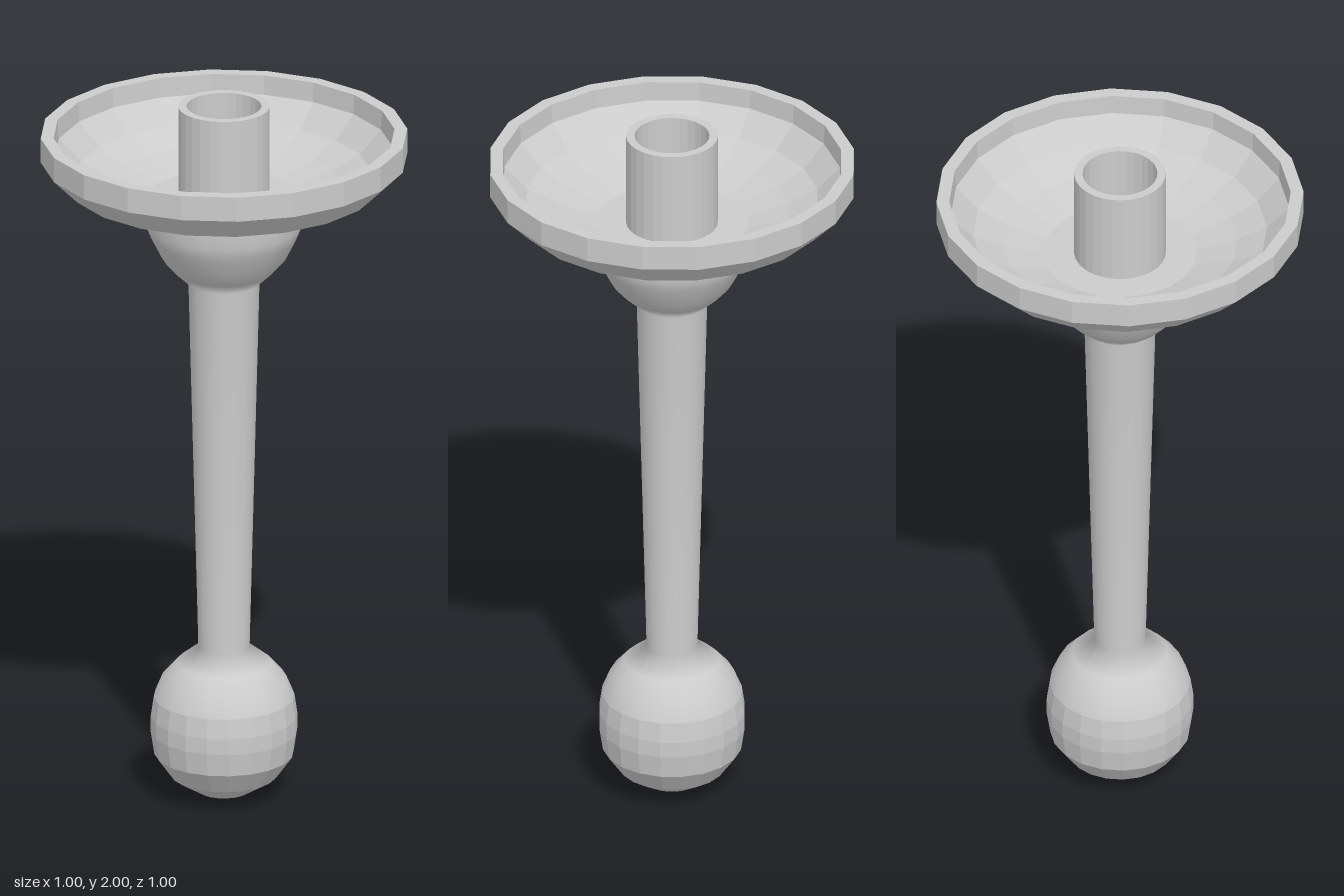
import * as THREE from 'three';

// Revolves [radius, y] points, listed so that the outside is walked upwards
function turned(name, points, sides, flat) {
  const profile = points.map(([r, y]) => new THREE.Vector2(r, y));
  const material = new THREE.MeshStandardMaterial({ color: 0xcccccc, flatShading: flat });
  const mesh = new THREE.Mesh(new THREE.LatheGeometry(profile, sides), material);
  mesh.name = name;
  return mesh;
}

export function createModel() {
  const model = new THREE.Group();
  model.name = 'candleHolder';

  // Faceted lower part of the ball foot
  model.add(turned('ballFoot', [
    [0, 0], [0.07, 0.016], [0.145, 0.062], [0.19, 0.125], [0.2, 0.19],
    [0.2, 0.235], [0.192, 0.29],
  ], 20, true));

  // Smooth upper ball, tapering stem and bell under the dish
  model.add(turned('stem', [
    [0.192, 0.29], [0.17, 0.343], [0.13, 0.388], [0.07, 0.435],
    [0.097, 1.49], [0.135, 1.525], [0.17, 1.565], [0.2, 1.625], [0.214, 1.66], [0.214, 1.715],
  ], 20, false));

  // Drip dish: underside, rim and hollow inside
  model.add(turned('dripDish', [
    [0, 1.715], [0.21, 1.715], [0.43, 1.78], [0.5, 1.85], [0.5, 1.92],
    [0.465, 1.92], [0.462, 1.865], [0.4, 1.803], [0.32, 1.767], [0.21, 1.735], [0, 1.735],
  ], 20, true));

  // Open candle socket
  model.add(turned('candleSocket', [
    [0.125, 1.73], [0.125, 2], [0.102, 2], [0.102, 1.745], [0, 1.745],
  ], 28, true));

  return model;
}
